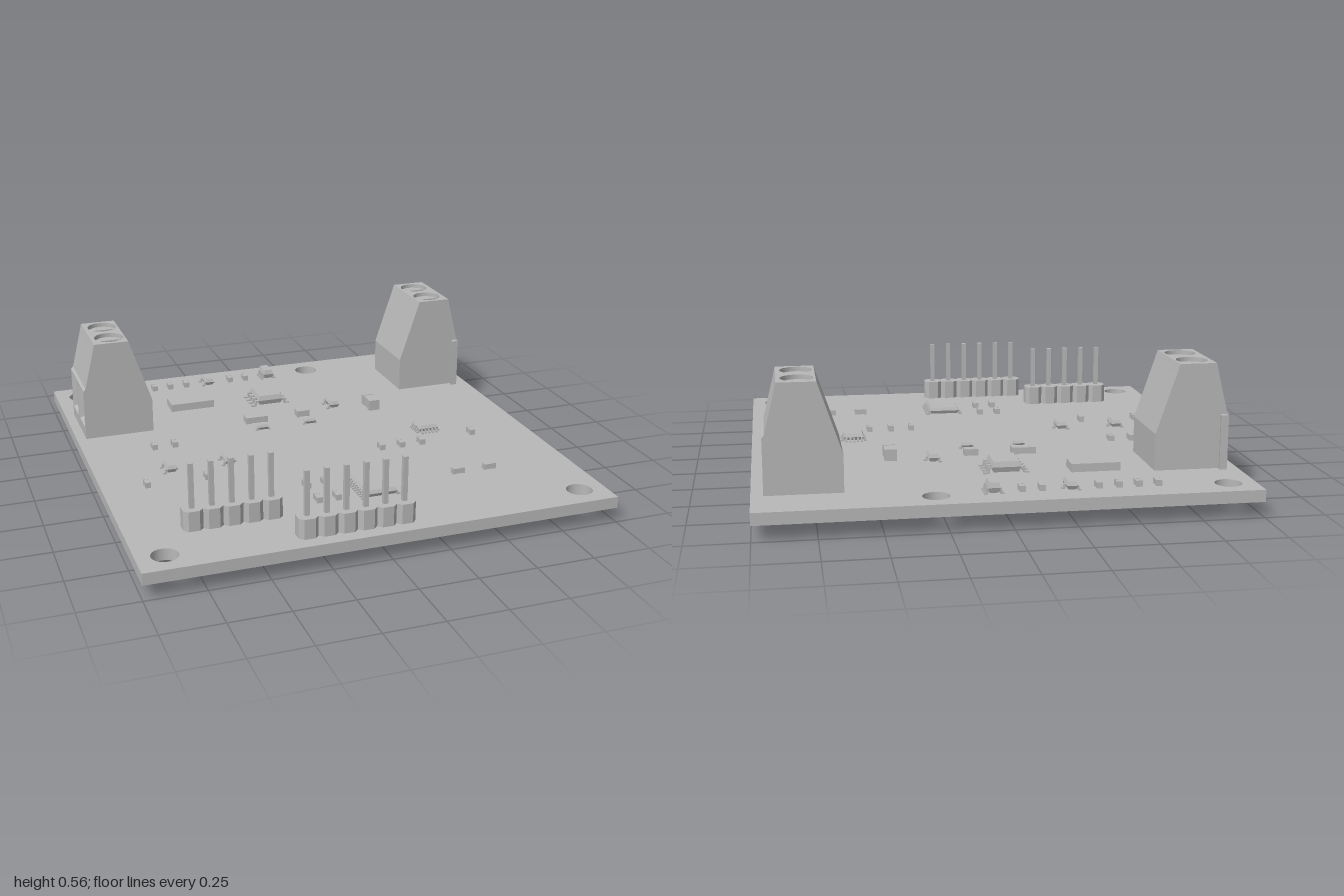
import * as THREE from 'three';

const TOP = 0.115; // upper face of the board
const grey = new THREE.MeshStandardMaterial({ color: 0xb8b8b8, side: THREE.DoubleSide });
grey.name = 'plain grey';

function add(parent, name, geo, x = 0, y = 0, z = 0) {
  const m = new THREE.Mesh(geo, grey);
  m.name = name;
  m.position.set(x, y, z);
  parent.add(m);
  return m;
}
function group(parent, name, x = 0, y = 0, z = 0, turn = 0) {
  const g = new THREE.Group();
  g.name = name;
  g.position.set(x, y, z);
  g.rotation.y = turn;
  parent.add(g);
  return g;
}
const box = (w, h, d) => new THREE.BoxGeometry(w, h, d);
const poly = (pts) => new THREE.Shape(pts.map(([x, y]) => new THREE.Vector2(x, y)));
const extrude = (shape, depth) =>
  new THREE.ExtrudeGeometry(shape, { depth, bevelEnabled: false, curveSegments: 20 });
const rect = (x0, x1, y0, y1) => poly([[x0, y0], [x1, y0], [x1, y1], [x0, y1]]);
// Extrusion of a plan shape upwards from y = 0 (shape y becomes -z)
const slab = (shape, h) => extrude(shape, h).rotateX(-Math.PI / 2);
function hole(shape, x, y, r) {
  const p = new THREE.Path();
  p.absarc(x, y, r, 0, Math.PI * 2, true);
  shape.holes.push(p);
}

// Moulded package: a box whose top and bottom draw in from the middle
function moulded(w, h, d, inset) {
  const g = new THREE.BoxGeometry(w, h, d, 1, 2, 1).toNonIndexed();
  const p = g.attributes.position;
  for (let i = 0; i < p.count; i++) {
    if (Math.abs(p.getY(i)) > h * 0.25) {
      p.setX(i, p.getX(i) - Math.sign(p.getX(i)) * inset);
      p.setZ(i, p.getZ(i) - Math.sign(p.getZ(i)) * inset);
    }
  }
  g.computeVertexNormals();
  return g;
}

// Bent lead reaching out along +x from x0 to x1, w wide
function leadGeometry(x0, x1, h, w) {
  const t = 0.007, m = (x0 + x1) / 2;
  return extrude(poly([[x0, h], [m, h], [m + t / 2, t], [x1, t], [x1, 0],
    [m - t / 2, 0], [m - t, h - t], [x0, h - t]]), w).translate(0, 0, -w / 2);
}

// Chip with leads on the sides: leads = [right, back, left, front] lists of offsets
function chip(root, name, x, z, w, d, h, reach, leadW, leads) {
  const g = group(root, name, x, TOP, z);
  add(g, 'package', moulded(w, h - 0.006, d, Math.min(0.007, h / 5)), 0, h / 2 + 0.003, 0);
  leads.forEach((offsets, side) => {
    const half = (side % 2 ? d : w) / 2;
    const s = group(g, 'leadRow', 0, 0, 0, side * Math.PI / 2);
    for (const o of offsets)
      add(s, 'lead', leadGeometry(half - 0.006, half + reach, h * 0.55, leadW), 0, 0, o);
  });
  return g;
}
const row = (n, pitch) => Array.from({ length: n }, (_, i) => (i - (n - 1) / 2) * pitch);

// Two-terminal part with metal end caps, long axis along z
function passive(root, x, z, w, l, h = 0.025, turn = 0) {
  const g = group(root, 'chipComponent', x, TOP, z, turn);
  const cap = l * 0.22;
  add(g, 'core', box(w * 0.92, h * 0.92, l - cap), 0, h / 2, 0);
  for (const s of [-1, 1]) add(g, 'endCap', box(w, h, cap), 0, h / 2, s * (l - cap) / 2);
}

// Rectangular funnel facing +x
function funnelGeometry(x0, x1, y0, y1, hw, inset) {
  const ring = (x, k) => [[x, y0 + k, -hw + k], [x, y0 + k, hw - k], [x, y1 - k, hw - k], [x, y1 - k, -hw + k]];
  const a = ring(x1, 0), b = ring(x0, inset), v = [];
  for (let i = 0; i < 4; i++) {
    const j = (i + 1) % 4;
    v.push(a[i], b[j], a[j], a[i], b[i], b[j]);
  }
  const g = new THREE.BufferGeometry();
  g.setAttribute('position', new THREE.Float32BufferAttribute(v.flat(), 3));
  g.computeVertexNormals();
  return g;
}

// Two-way screw terminal, wire openings towards +x, screws at x = 0
function terminal(root, name, x, z, turn) {
  const g = group(root, name, x, 0, z, turn);
  const yCap = 0.52, hw = 0.1625, inner = -0.086, outer = 0.091;
  const profile = (notch) => poly([
    [-0.17, TOP], [0.142, TOP], ...notch, [0.142, 0.345], [0.132, 0.355],
    [outer, yCap], [inner, yCap], [-0.17, 0.27]]);
  const pocket = [[0.142, 0.165], [0.05, 0.165], [0.05, 0.335], [0.142, 0.335]];
  // Body made of slices, every second one holding a wire opening
  const cuts = [-hw, -0.1425, -0.0175, 0.0175, 0.1425, hw];
  for (let i = 0; i < 5; i++)
    add(g, 'housing', extrude(profile(i % 2 ? pocket : []), cuts[i + 1] - cuts[i]), 0, 0, cuts[i]);
  // Cap with round screw wells; its lower edge flares to meet the body
  const capShape = rect(-0.073, 0.082, -hw, hw);
  for (const s of [-1, 1]) hole(capShape, 0, s * 0.08, 0.065);
  const cap = slab(capShape, 0.04), p = cap.attributes.position;
  for (let i = 0; i < p.count; i++) {
    if (p.getY(i) > 0.02) continue;
    if (p.getX(i) < -0.072) p.setX(i, inner);
    else if (p.getX(i) > 0.081) p.setX(i, outer);
  }
  cap.computeVertexNormals();
  add(g, 'housingCap', cap, 0, yCap, 0);
  for (const s of [-1, 1]) {
    // Slotted screw head: two segments with a gap along x
    for (const k of [0, Math.PI]) {
      const seg = new THREE.Shape();
      seg.absarc(0, 0, 0.063, k + 0.19, k + Math.PI - 0.19, false);
      seg.closePath();
      add(g, 'screwHead', slab(seg, 0.022), 0, yCap, s * 0.08);
    }
    add(g, 'wireFunnel', funnelGeometry(0.1, 0.142, 0.165, 0.335, 0.0625, 0.022), 0, 0, s * 0.08);
    add(g, 'solderPin', box(0.025, TOP, 0.025), 0, TOP / 2, s * 0.08);
  }
  // Dovetail rib on one flank
  add(g, 'dovetail', slab(poly([[0.106, 0], [0.126, 0], [0.132, -0.025], [0.1, -0.025]]), 0.23),
    0, TOP, hw);
}

// Pin header along x with chamfered cells
function header(root, name, n, x, z) {
  const g = group(root, name, x, 0, z);
  const a = 0.0408, c = 0.018, pitch = 0.0816;
  const cell = poly([[-a, -a + c], [-a + c, -a], [a - c, -a], [a, -a + c],
    [a, a - c], [a - c, a], [-a + c, a], [-a, a - c]]);
  for (const o of row(n, pitch)) {
    add(g, 'headerCell', slab(cell, 0.085), o, TOP, 0);
    add(g, 'headerPin', moulded(0.02, 0.37, 0.02, 0), o, 0.205, 0);
  }
}

export function createModel() {
  const root = new THREE.Group();
  root.name = 'circuitBoard';

  // Board with four mounting holes
  const plan = rect(-1, 1, -1, 1);
  for (const [x, z] of [[-0.885, -0.885], [0.29, -0.885], [-0.885, 0.885], [0.885, 0.885]])
    hole(plan, x, -z, 0.055);
  add(root, 'board', slab(plan, 0.05), 0, 0.065, 0);

  // Connectors
  terminal(root, 'leftTerminal', 0.808, -0.623, 0);
  terminal(root, 'rightTerminal', -0.815, -0.5, Math.PI);
  header(root, 'fivePinHeader', 5, -0.565, 0.69);
  header(root, 'sixPinHeader', 6, -0.121, 0.9);

  // Integrated circuits
  const four = row(4, 0.041), ten = row(10, 0.0205), five = row(5, 0.017);
  chip(root, 'eightLeadChip', -0.035, -0.54, 0.12, 0.15, 0.05, 0.035, 0.016, [four, [], four]);
  chip(root, 'twentyLeadChip', 0.077, 0.58, 0.14, 0.205, 0.036, 0.016, 0.009, [ten, [], ten]);
  chip(root, 'squareChip', 0.547, 0.06, 0.09, 0.09, 0.035, 0.012, 0.008, [five, five, five, five]);
  chip(root, 'sixLeadChip', 0.065, -0.86, 0.05, 0.09, 0.048, 0.014, 0.014,
    [row(3, 0.031), [], row(3, 0.031)]);

  // Transistors, single lead towards -x or +x
  for (const [x, z, side] of [[-0.245, -0.86, 1], [0.24, -0.36, 1], [-0.68, 0.125, 1], [-0.42, 0.125, 1]]) {
    const t = chip(root, 'transistor', x, z, 0.045, 0.09, 0.038, 0.014, 0.014, [[0], [], row(2, 0.062)]);
    t.rotation.y = side > 0 ? 0 : Math.PI;
  }
  // Diodes
  for (const x of [-0.165, 0.065])
    chip(root, 'diode', x, -0.18, 0.05, 0.036, 0.03, 0.009, 0.014, [[0], [], [0]]);

  // Small upright parts
  for (const x of [-0.6, -0.52, -0.44, -0.358, -0.13, -0.05]) passive(root, x, -0.86, 0.025, 0.047);
  for (const [x, z] of [[-0.69, -0.13], [-0.597, -0.13], [-0.81, 0.255], [-0.55, 0.255],
    [0.27, 0.205], [0.365, 0.205], [0.463, 0.205], [0.725, 0.175]]) passive(root, x, z, 0.024, 0.047);
  for (const x of [-0.18, -0.097]) for (const z of [0.48, 0.625]) passive(root, x, z, 0.025, 0.052);
  // Parts lying along x
  for (const x of [0.48, 0.627]) passive(root, x, 0.56, 0.025, 0.055, 0.025, Math.PI / 2);
  passive(root, -0.165, -0.29, 0.05, 0.105, 0.03, Math.PI / 2);
  passive(root, 0.065, -0.29, 0.04, 0.06, 0.03, Math.PI / 2);
  // Larger parts
  passive(root, 0.415, -0.29, 0.053, 0.105, 0.05);
  add(root, 'flatResistor', box(0.207, 0.035, 0.1), -0.405, TOP + 0.0175, -0.585);

  return root;
}
